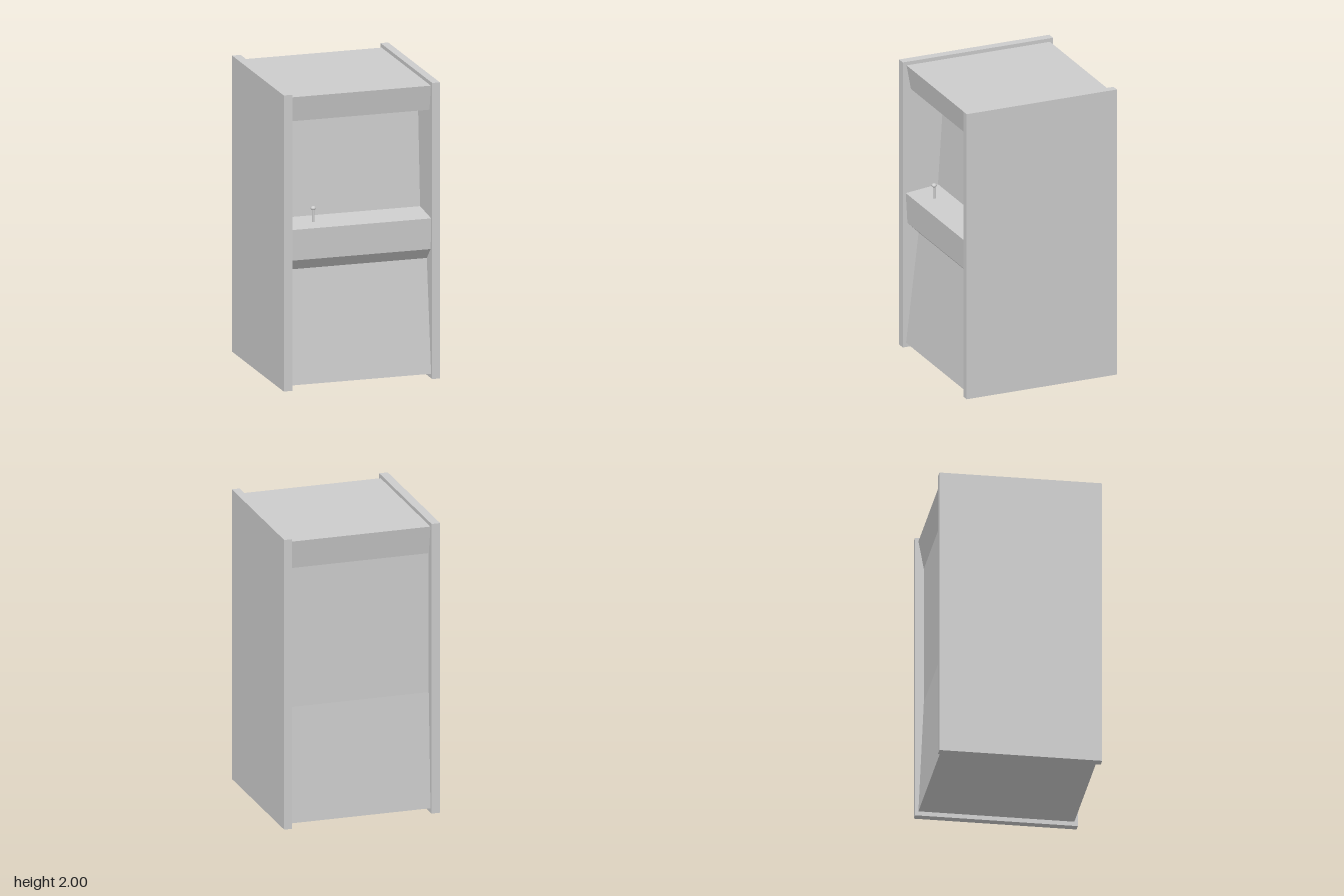
import * as THREE from 'three';

const material = new THREE.MeshStandardMaterial({ color: 0xcccccc });

function add(parent, name, geometry, x = 0, y = 0, z = 0) {
  const mesh = new THREE.Mesh(geometry, material);
  mesh.name = name;
  mesh.position.set(x, y, z);
  parent.add(mesh);
  return mesh;
}

export function createModel() {
  const model = new THREE.Group();
  model.name = 'arcadeCabinet';

  const height = 2, depth = 1.076;
  const outer = 0.537, innerRight = -0.478, innerLeft = 0.484;

  // Full-height side panels
  const sides = [['rightPanel', -outer, innerRight], ['leftPanel', innerLeft, outer]];
  for (const [name, x0, x1] of sides) {
    add(model, name, new THREE.BoxGeometry(x1 - x0, height, depth), (x0 + x1) / 2, height / 2, 0);
  }

  // Cabinet body: side profile as [z, y], extruded across the width
  const profile = [
    [0.515, 0.03],   // foot of the lower front
    [0.425, 0.79],   // top of the lower front
    [0.505, 0.87],   // underside of the control shelf
    [0.517, 1.08],   // front lip of the control shelf
    [0.286, 1.105],  // foot of the screen
    [0.242, 1.793],  // top of the screen
    [0.48, 1.805],   // underside of the marquee
    [0.511, 1.975],  // top of the marquee
    [-0.516, 1.975], // top of the back
    [-0.48, 1.78],
    [-0.48, 0.82],
    [-0.516, 0.03],  // foot of the back
  ];
  const shape = new THREE.Shape(profile.map(([z, y]) => new THREE.Vector2(-z, y)));
  const body = new THREE.ExtrudeGeometry(shape, { depth: innerLeft - innerRight, bevelEnabled: false });
  body.rotateY(Math.PI / 2); // extrusion runs along +x, profile -z axis turns to +z
  add(model, 'cabinetBody', body, innerRight, 0, 0);

  // Joystick on the control shelf
  const joystick = new THREE.Group();
  joystick.name = 'joystick';
  joystick.position.set(-0.288, 1.085, 0.4);
  add(joystick, 'stick', new THREE.CylinderGeometry(0.008, 0.008, 0.1, 12), 0, 0.045, 0);
  const knob = [[0, 0.09], [0.014, 0.09], [0.019, 0.096], [0.017, 0.104], [0.01, 0.111], [0, 0.113]];
  add(joystick, 'knob', new THREE.LatheGeometry(knob.map(([r, y]) => new THREE.Vector2(r, y)), 12));
  model.add(joystick);

  return model;
}
